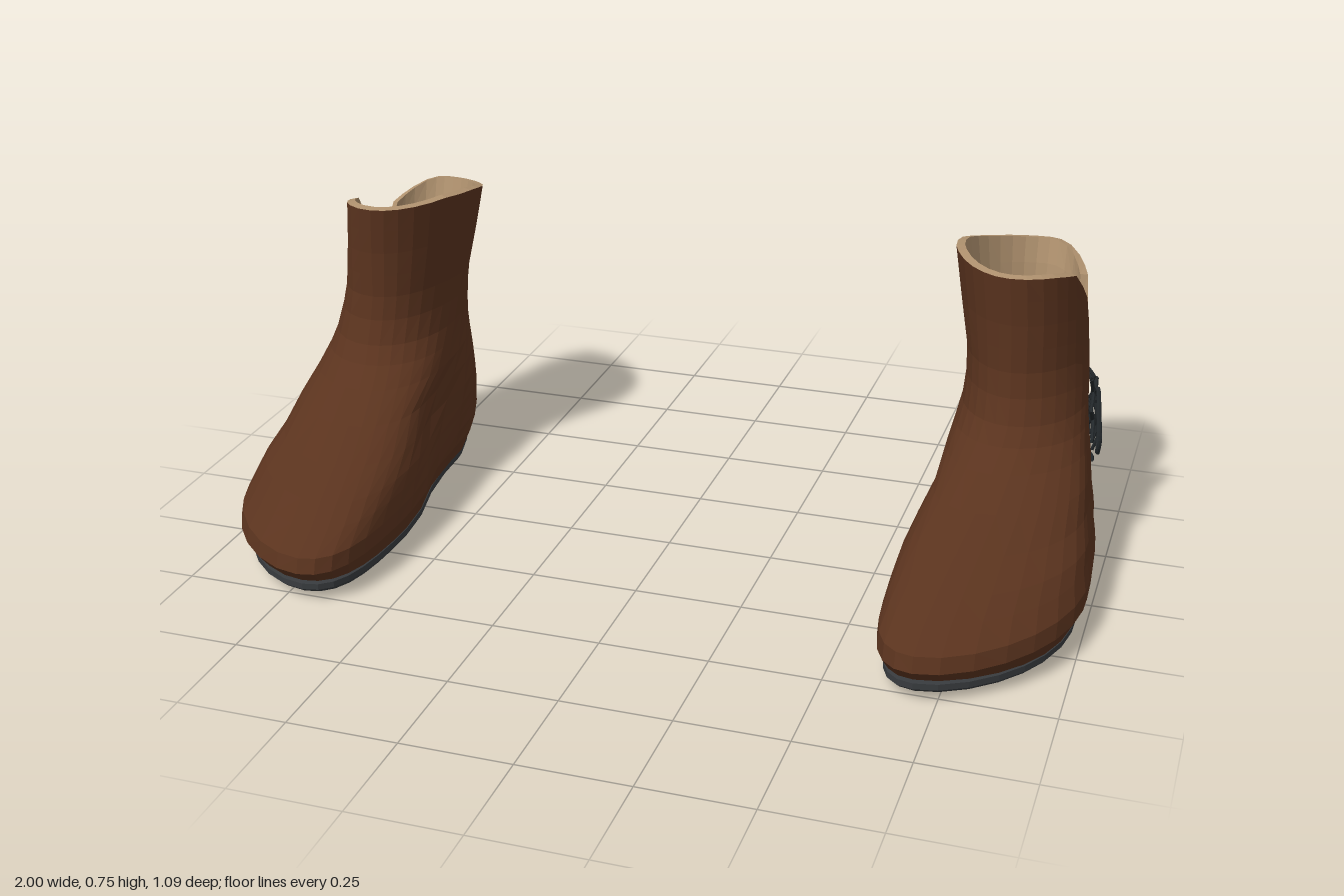
import * as THREE from 'three';

const flat = (name, color) => {
  const m = new THREE.MeshStandardMaterial({ color, flatShading: true, side: THREE.DoubleSide });
  m.name = name;
  return m;
};
const leather = flat('brown leather', 0x5a331e);
const lining = flat('tan lining', 0xb0926f);
const rubber = flat('dark sole', 0x383b3e);
const cord = flat('black lace', 0x22272a);

// Horizontal slices: y, zFront, zWidest, zBack, xInner, xOuter, xToe, xHeel
const SLICES = [
  [0.025, 0.525, 0.13, -0.47, 0.605, 0.975, 0.70, 0.78],
  [0.08, 0.55, 0.14, -0.515, 0.585, 1.0, 0.70, 0.78],
  [0.115, 0.54, 0.12, -0.53, 0.585, 1.0, 0.70, 0.78],
  [0.15, 0.46, 0.10, -0.535, 0.588, 0.99, 0.705, 0.78],
  [0.18, 0.39, 0.06, -0.535, 0.592, 0.985, 0.715, 0.78],
  [0.22, 0.28, 0.0, -0.53, 0.60, 0.97, 0.73, 0.78],
  [0.27, 0.16, -0.06, -0.525, 0.615, 0.96, 0.75, 0.78],
  [0.32, 0.06, -0.13, -0.515, 0.63, 0.945, 0.765, 0.78],
  [0.36, 0.0, -0.18, -0.51, 0.64, 0.935, 0.775, 0.78],
  [0.40, -0.03, -0.225, -0.503, 0.646, 0.928, 0.78, 0.78],
  [0.43, -0.045, -0.25, -0.5, 0.648, 0.925, 0.78, 0.78],
  [0.50, -0.06, -0.28, -0.505, 0.645, 0.915, 0.775, 0.78],
  [0.62, -0.058, -0.30, -0.528, 0.62, 0.905, 0.77, 0.78],
  [0.75, -0.046, -0.31, -0.565, 0.598, 0.895, 0.76, 0.78],
];
const SHAFT_Y = 0.40;

// Rim heights by cosine of the angle from the toe direction
const RIM_OUT = [[1, 0.74], [0.8, 0.733], [0.44, 0.71], [0.08, 0.63], [-0.146, 0.515],
  [-0.352, 0.43], [-0.41, 0.515], [-0.574, 0.63], [-0.8, 0.652], [-1, 0.675]];
const RIM_IN = [[1, 0.74], [0.5, 0.745], [0, 0.732], [-0.6, 0.695], [-1, 0.675]];

function interp(table, key, down) {
  const n = table.length - 1;
  let i = 0;
  while (i < n - 1 && (down ? key < table[i + 1][0] : key > table[i + 1][0])) i++;
  const [p, q] = [table[i], table[i + 1]];
  const t = THREE.MathUtils.clamp((key - p[0]) / (q[0] - p[0]), 0, 1);
  return p.map((v, k) => v + (q[k] - v) * t);
}

const toeLift = (z) => Math.pow(Math.max(0, z - 0.15) / 0.4, 1.5);

// Point on the boot surface at angle a and height y, moved inwards by inset
function skin(a, y, inset = 0) {
  const [, zF, zW, zB, xI, xO, xT, xH] = interp(SLICES, y, false);
  const c = Math.cos(a), s = Math.sin(a);
  const mid = (xI + xO) / 2, half = (xO - xI) / 2 - inset;
  const z = zW + c * (c > 0 ? zF - inset - zW : zW - zB - inset);
  let x = mid + half * s + ((c > 0 ? xT : xH) - mid) * c * c;
  // hollow under the instep
  if (s < 0) x -= 0.035 * s * Math.exp(-(((z + 0.1) / 0.15) ** 2)) * THREE.MathUtils.clamp((0.33 - y) / 0.1, 0, 1);
  const lift = 0.03 * toeLift(z) * THREE.MathUtils.clamp(1 - (y - 0.025) / 0.055, 0, 1);
  return new THREE.Vector3(x, y + lift, z);
}

const OUTER = [1, 0.97, 0.88, 0.75, 0.6, 0.44, 0.26, 0.08, -0.03, -0.146, -0.25, -0.352, -0.41, -0.49,
  -0.574, -0.7, -0.82, -0.93, -0.985].map(Math.acos);
const INNER = Array.from({ length: 15 }, (_, i) => Math.PI * (1 + i / 15));
const ANGLES = [...OUTER, ...INNER, Math.PI * 2];
const rimY = (a) => interp(Math.sin(a) >= 0 ? RIM_OUT : RIM_IN, Math.cos(a), true)[1];
const shaftY = (a, t) => SHAFT_Y + (rimY(a) - SHAFT_Y) * t;

// Loft through rows; each row is a function of the angle
function loft(rows, angles = ANGLES) {
  const pos = [], idx = [], n = angles.length;
  for (const row of rows) for (const a of angles) pos.push(...row(a).toArray());
  for (let j = 0; j < rows.length - 1; j++) {
    for (let i = 0; i < n - 1; i++) {
      const k = j * n + i;
      idx.push(k, k + 1, k + n, k + 1, k + n + 1, k + n);
    }
  }
  const g = new THREE.BufferGeometry();
  g.setAttribute('position', new THREE.Float32BufferAttribute(pos, 3));
  g.setIndex(idx);
  g.computeVertexNormals();
  return g;
}

// Lace point on the outer side, held off the leather by off
function onSide([z, y, off = 0.006]) {
  const [, zF, zW, zB] = interp(SLICES, y, false);
  const c = z > zW ? (z - zW) / (zF - zW) : (z - zW) / (zW - zB);
  const p = skin(Math.acos(THREE.MathUtils.clamp(c, -1, 1)), y);
  return new THREE.Vector3(p.x + off, y, z);
}
function lace(points, radius = 0.0045, closed = false) {
  const curve = new THREE.CatmullRomCurve3(points.map(onSide), closed);
  return new THREE.TubeGeometry(curve, points.length * 5, radius, 6, closed);
}

function bootParts() {
  const parts = [];
  const add = (name, geometry, material) => parts.push({ name, geometry, material });
  const T = [0.17, 0.34, 0.5, 0.67, 0.84, 1];

  // Leather upper, from the sole edge to the rim
  add('upper', loft([
    ...SLICES.filter((s) => s[0] <= SHAFT_Y).map((s) => (a) => skin(a, s[0])),
    ...T.map((t) => (a) => skin(a, shaftY(a, t))),
  ]), leather);

  // Rim edge and lining, narrowing down to the footbed
  const bed = (k, y) => (a) => new THREE.Vector3(0.772 + 0.1 * k * Math.sin(a), y, -0.305 + 0.135 * k * Math.cos(a));
  add('lining', loft([
    (a) => skin(a, rimY(a)),
    (a) => skin(a, rimY(a) + 0.003, 0.02),
    ...[0.8, 0.6, 0.4, 0.2, 0].map((t) => (a) => skin(a, shaftY(a, t), 0.02)),
    (a) => skin(a, 0.36, 0.03).lerp(bed(1, 0.3)(a), 0.5),
    bed(1, 0.22), bed(1, 0.08),
  ]), lining);
  add('footbedEdge', loft([bed(1, 0.08), bed(0.94, 0.08)]), leather);
  add('footbed', loft([bed(0.94, 0.08), bed(0, 0.08)]), rubber);

  // Tongue closing the bottom of the side slit
  const slit = [0.1, -0.05, -0.2, -0.35, -0.45, -0.58].map(Math.acos);
  add('tongue', loft([0.40, 0.46, 0.515].map((y) => (a) => skin(a, y, 0.01)), slit), leather);

  // Sole: thin, with a raised toe
  const sole = (k, y, grow) => (a) => {
    const p = skin(a, 0.025, -grow);
    const z = -0.0 + Math.max(p.z, -0.455) * k;
    return new THREE.Vector3(0.78 + (p.x - 0.78) * k, y + 0.018 * toeLift(z) + (z < -0.15 ? 0.008 : 0), z);
  };
  add('sole', loft([
    sole(0, 0.0, 0), sole(0.5, 0, 0), sole(0.92, 0, 0), sole(0.98, 0.004, 0),
    sole(1, 0.014, 0.003), sole(1, 0.028, 0.003), sole(0.95, 0.032, 0), sole(0, 0.03, 0),
  ]), rubber);

  // Laces: bars, crossings, bow loops and loose ends
  const laces = [
    [[-0.285, 0.43], [-0.33, 0.42, 0.012], [-0.372, 0.42]],
    [[-0.285, 0.228], [-0.325, 0.222, 0.01], [-0.365, 0.213]],
    [[-0.295, 0.42], [-0.33, 0.38, 0.012], [-0.365, 0.345]],
    [[-0.365, 0.42], [-0.33, 0.385, 0.014], [-0.285, 0.35]],
    [[-0.29, 0.35], [-0.33, 0.31, 0.012], [-0.365, 0.285]],
    [[-0.365, 0.35], [-0.33, 0.315, 0.014], [-0.29, 0.28]],
    [[-0.29, 0.36], [-0.33, 0.352, 0.012], [-0.365, 0.352]],
    [[-0.33, 0.36, 0.02], [-0.315, 0.30, 0.028], [-0.318, 0.24, 0.01]],
    [[-0.335, 0.36, 0.02], [-0.352, 0.30, 0.03], [-0.345, 0.245, 0.012]],
  ];
  laces.forEach((p) => add('lace', lace(p), cord));
  add('frontBowLoop', lace([[-0.33, 0.37, 0.018], [-0.305, 0.40, 0.022], [-0.265, 0.345, 0.024], [-0.246, 0.295, 0.022],
    [-0.262, 0.258, 0.016], [-0.295, 0.265, 0.02], [-0.318, 0.315, 0.026]], 0.0055, true), cord);
  add('backBowLoop', lace([[-0.33, 0.37, 0.018], [-0.355, 0.405, 0.022], [-0.40, 0.34, 0.028], [-0.436, 0.28, 0.03],
    [-0.42, 0.247, 0.024], [-0.375, 0.26, 0.022], [-0.345, 0.315, 0.026]], 0.0055, true), cord);
  add('slitSeam', lace([[-0.338, 0.43, 0], [-0.335, 0.35, 0], [-0.332, 0.26, 0], [-0.334, 0.185, 0]], 0.002), cord);
  const knot = new THREE.SphereGeometry(0.012, 8, 6);
  knot.translate(...onSide([-0.332, 0.365, 0.018]).toArray());
  add('knot', knot, cord);
  return parts;
}

// Mirror across x and restore the corner order
function mirrored(geometry) {
  const g = geometry.clone().scale(-1, 1, 1);
  const ix = g.index.array;
  for (let i = 0; i < ix.length; i += 3) [ix[i], ix[i + 1]] = [ix[i + 1], ix[i]];
  g.computeVertexNormals();
  return g;
}

export function createModel() {
  const model = new THREE.Group();
  model.name = 'pairOfBoots';
  const parts = bootParts();
  for (const side of ['left', 'right']) {
    const boot = new THREE.Group();
    boot.name = side + 'Boot';
    for (const p of parts) {
      const mesh = new THREE.Mesh(side === 'left' ? p.geometry : mirrored(p.geometry), p.material);
      mesh.name = p.name;
      boot.add(mesh);
    }
    model.add(boot);
  }
  return model;
}
